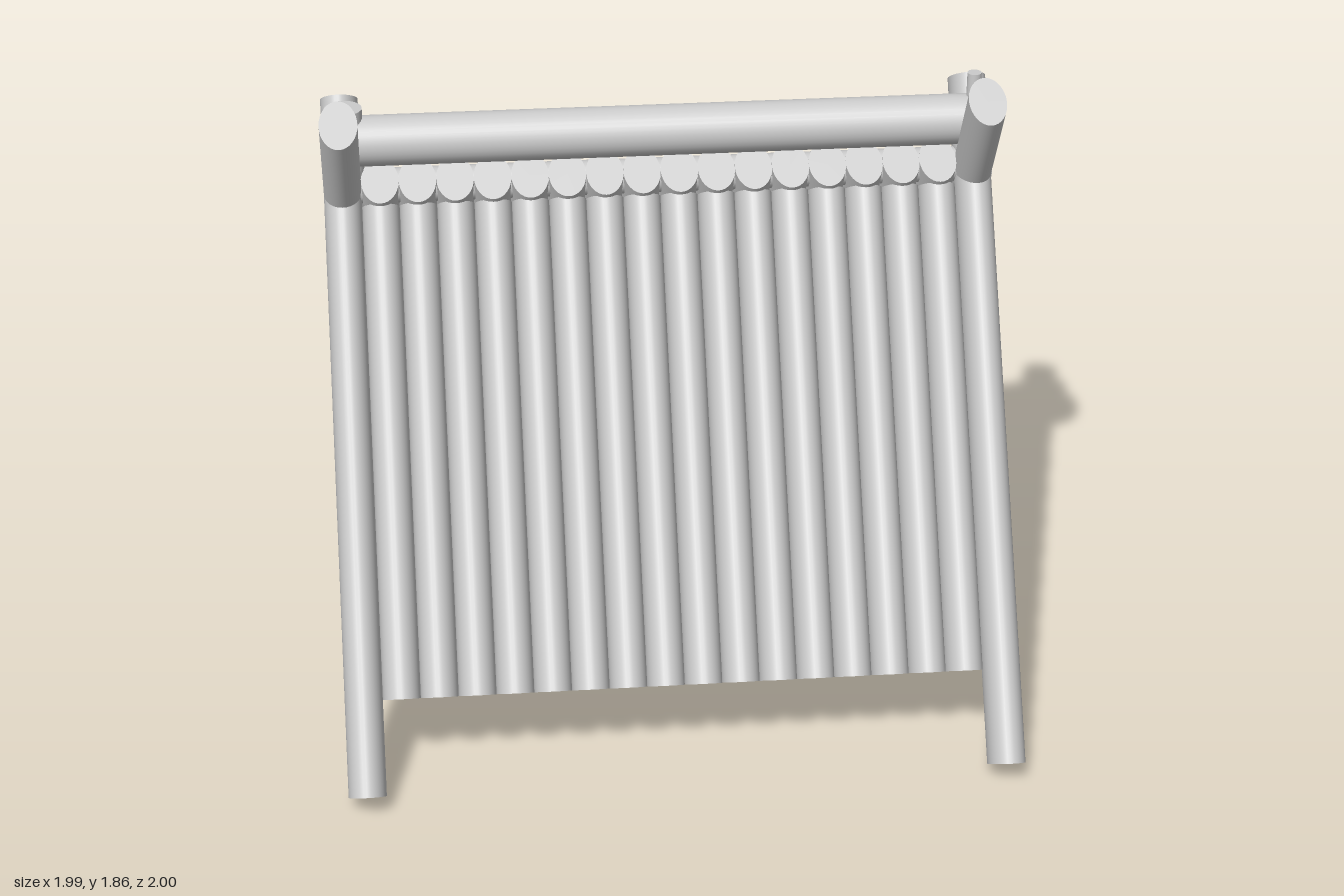
import * as THREE from 'three';

const material = new THREE.MeshStandardMaterial({ color: 0xcccccc });

// Straight log between two points; rx is the radius across x, rz the other one.
function log(name, from, to, rx, rz = rx) {
  const a = new THREE.Vector3(...from);
  const b = new THREE.Vector3(...to);
  const dir = b.clone().sub(a);
  const geometry = new THREE.CylinderGeometry(1, 1, dir.length(), 32);
  geometry.scale(rx, 1, rz);
  const mesh = new THREE.Mesh(geometry, material);
  mesh.name = name;
  mesh.position.copy(a).add(b).multiplyScalar(0.5);
  mesh.quaternion.setFromUnitVectors(new THREE.Vector3(0, 1, 0), dir.normalize());
  return mesh;
}

export function createModel() {
  const group = new THREE.Group();
  group.name = 'leanToShelter';
  const ridgeZ = -0.055;

  // Crossed pairs of leaning end poles
  for (const [side, x] of [['right', -0.94], ['left', 0.925]]) {
    group.add(log(side + 'FrontPole', [x, 0.055, 0.93], [x, 1.755, -0.19], 0.055, 0.083));
    group.add(log(side + 'BackPole', [x, 0.112, -0.927], [x, 1.825, 0.155], 0.055, 0.083));
  }

  // Two sloping walls of logs
  const frontWall = new THREE.Group();
  frontWall.name = 'frontWall';
  const backWall = new THREE.Group();
  backWall.name = 'backWall';
  const count = 16;
  const pitch = 1.755 / count;
  for (let i = 0; i < count; i++) {
    const x = -0.885 + pitch * (i + 0.5);
    frontWall.add(log('frontWallLog', [x, 0.283, 0.775], [x, 1.483, -0.015], 0.055, 0.078));
    backWall.add(log('backWallLog', [x, 0.36, -0.77], [x, 1.573, -0.004], 0.055, 0.078));
  }
  group.add(frontWall, backWall);

  // Ridge beam resting in the forks, with a thinner beam under it
  group.add(log('ridgeBeam', [-0.99, 1.68, ridgeZ], [0.99, 1.68, ridgeZ], 0.075));
  group.add(log('lowerBeam', [-0.98, 1.535, ridgeZ], [0.98, 1.535, ridgeZ], 0.052));

  // Upright posts: a thick one at one end, a thin one at the other
  group.add(log('thickPost', [-0.928, 0.265, ridgeZ], [-0.928, 1.785, ridgeZ], 0.055));
  group.add(log('thinPost', [0.923, 0.257, ridgeZ], [0.923, 1.827, ridgeZ], 0.021));

  return group;
}
